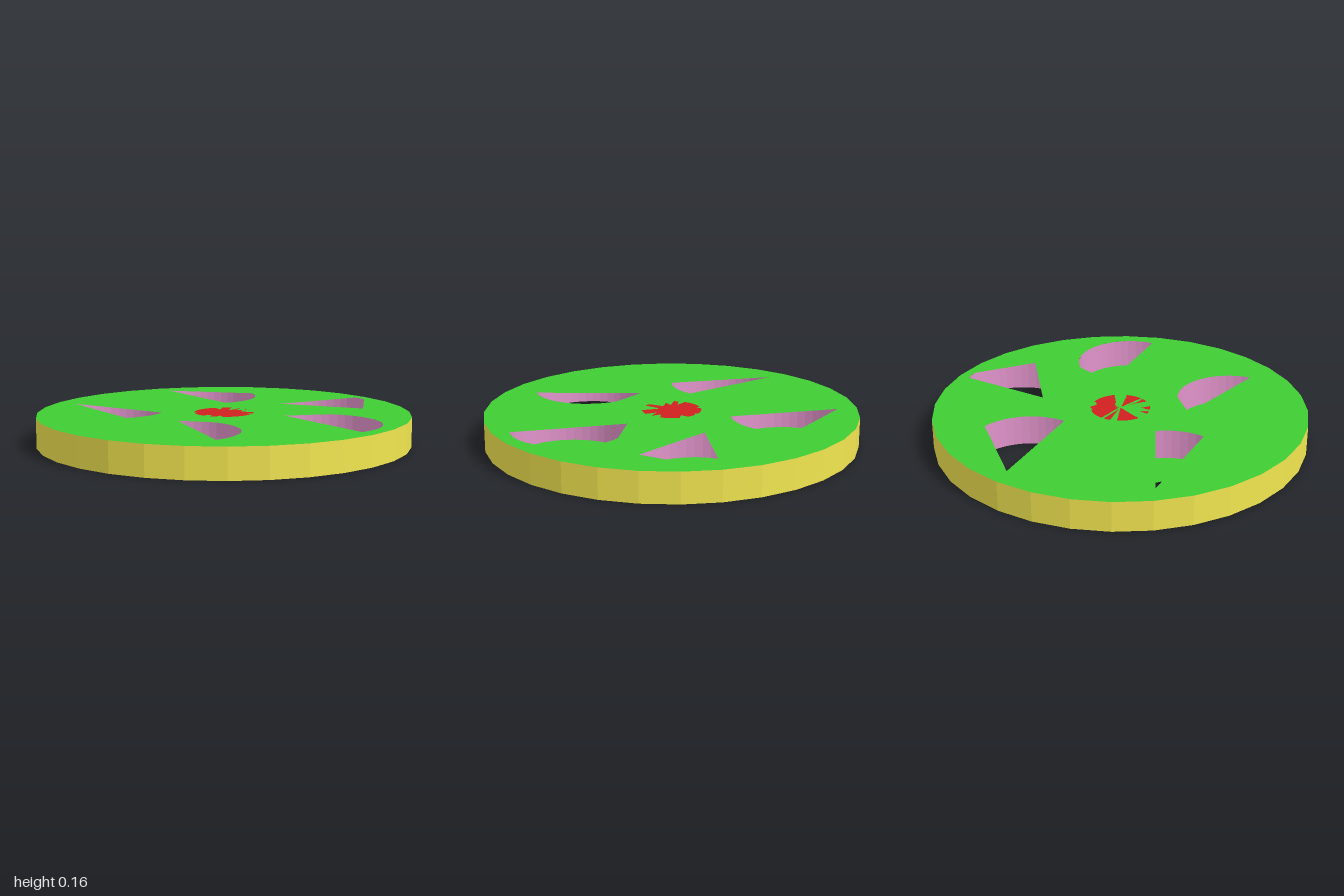
import * as THREE from 'three';

const HEIGHT = 0.16;
const HOLE_RADIUS = 0.304;
const SIDES = 32;

const paint = (color, extra = {}) => new THREE.MeshStandardMaterial({ color, ...extra });

// Each bore: centre (x, z), and the part of its circle left open in the top and bottom plates.
// arc = open arc in degrees; corners = further corners as [degrees, radius].
const bores = [
  { x: 0.615, z: -0.085, top: { arc: [238, 372], corners: [[190]] } },
  { x: 0.25, z: 0.57, top: { arc: [261, 370], corners: [[222]] }, bottom: { arc: [8, 242] } },
  { x: -0.505, z: 0.365, top: { arc: [-24, 25], corners: [[180]] }, bottom: { arc: [44, 247] } },
  { x: -0.51, z: -0.357, top: { arc: [-65, 21], corners: [[182]] }, bottom: { arc: [182, 377] } },
  { x: 0.157, z: -0.62, top: { arc: [273, 287], corners: [[360], [127, 0.225]] }, bottom: { arc: [176, 414] } },
];

// Outline of one opening, as [x, z] points
function outline(bore, { arc, corners = [] }) {
  const at = (deg, r = HOLE_RADIUS) => {
    const a = THREE.MathUtils.degToRad(deg);
    return [bore.x + r * Math.cos(a), bore.z + r * Math.sin(a)];
  };
  const steps = Math.max(2, Math.round((arc[1] - arc[0]) / 8));
  const points = [];
  for (let i = 0; i <= steps; i++) points.push(at(arc[0] + (arc[1] - arc[0]) * i / steps));
  corners.forEach(([deg, r]) => points.push(at(deg, r)));
  return points;
}

// Flat round plate with openings, facing up for the top and down for the bottom
function plate(side) {
  const sign = side === 'top' ? -1 : 1;
  const toVectors = (points) => points.map(([x, z]) => new THREE.Vector2(x, sign * z));
  const rim = [];
  for (let i = 0; i < SIDES; i++) {
    const a = i / SIDES * Math.PI * 2;
    rim.push([Math.cos(a), Math.sin(a)]);
  }
  const shape = new THREE.Shape(toVectors(rim));
  bores.filter((b) => b[side]).forEach((b) => {
    shape.holes.push(new THREE.Path(toVectors(outline(b, b[side]))));
  });
  const geometry = new THREE.ShapeGeometry(shape);
  geometry.rotateX(sign * Math.PI / 2);
  const mesh = new THREE.Mesh(geometry, paint(0x3fcd33, { side: THREE.DoubleSide }));
  mesh.name = side + 'Plate';
  mesh.position.y = side === 'top' ? HEIGHT : 0;
  return mesh;
}

export function createModel() {
  const group = new THREE.Group();
  group.name = 'disc';

  // Central hub, flush with both plates
  const hub = new THREE.Mesh(
    new THREE.CylinderGeometry(0.16, 0.16, HEIGHT, SIDES),
    paint(0xd02020, { flatShading: true }));
  hub.name = 'hub';
  hub.position.y = HEIGHT / 2;
  group.add(hub);

  // Faceted outer rim
  const rim = new THREE.Mesh(
    new THREE.CylinderGeometry(1, 1, HEIGHT, SIDES, 1, true),
    paint(0xf2e650, { flatShading: true }));
  rim.name = 'outerRim';
  rim.position.y = HEIGHT / 2;
  group.add(rim);

  // Plates, each covering the bores in part
  group.add(plate('top'), plate('bottom'));

  // Walls of the bores
  const wallGeometry = new THREE.CylinderGeometry(HOLE_RADIUS, HOLE_RADIUS, HEIGHT, 44, 1, true);
  const wallMaterial = paint(0xe093ca, { side: THREE.DoubleSide, flatShading: true });
  bores.forEach((b) => {
    const wall = new THREE.Mesh(wallGeometry, wallMaterial);
    wall.name = 'boreWall';
    wall.position.set(b.x, HEIGHT / 2, b.z);
    group.add(wall);
  });

  return group;
}
